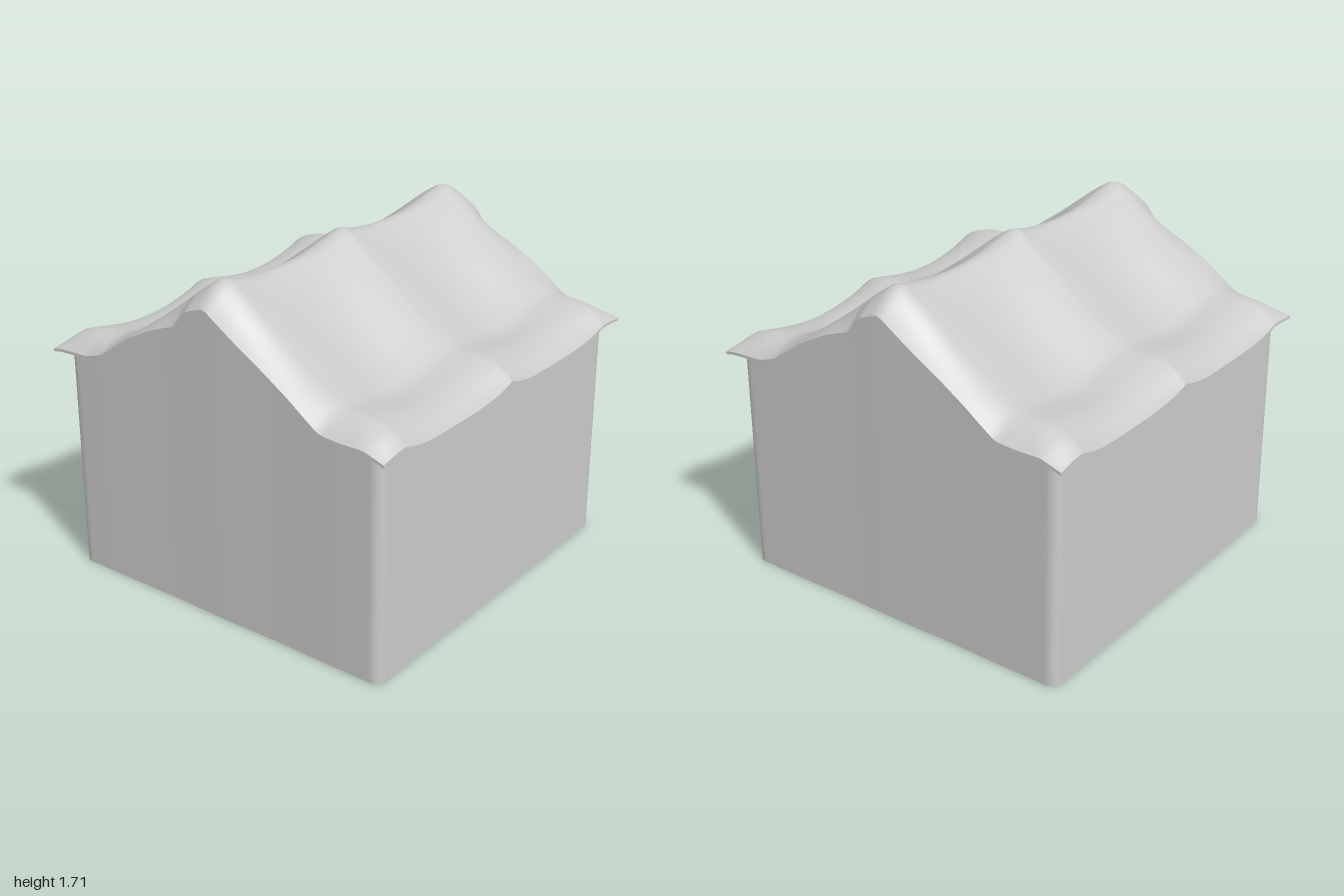
import * as THREE from 'three';

// Roof profiles across the width: over the ribs, and along the front hem
const RIB = [[-0.98, 1.175], [-0.93, 1.23], [-0.82, 1.265], [-0.64, 1.275], [-0.5, 1.35], [-0.3, 1.495], [-0.12, 1.64], [0, 1.722],
  [0.12, 1.64], [0.3, 1.495], [0.5, 1.35], [0.66, 1.27], [0.82, 1.262], [0.93, 1.23], [0.98, 1.175]];
const HEM = [[-0.98, 1.165], [-0.93, 1.175], [-0.75, 1.185], [-0.65, 1.22], [-0.48, 1.345], [-0.33, 1.425], [-0.17, 1.485],
  [-0.12, 1.565], [0, 1.612], [0.2, 1.475], [0.48, 1.305], [0.64, 1.195], [0.75, 1.185], [0.87, 1.185], [0.98, 1.15]];
const RIB_Z = 0.84, HALF_X = 0.98, THICK = 0.015;

function linear(p, x) {
  if (x <= p[0][0]) return p[0][1];
  for (let i = 1; i < p.length; i++) {
    if (x <= p[i][0]) return THREE.MathUtils.mapLinear(x, p[i - 1][0], p[i][0], p[i - 1][1], p[i][1]);
  }
  return p[p.length - 1][1];
}

// Profile height averaged over a small window to soften its corners
function soft(p, x, w) {
  w = Math.min(w, HALF_X - Math.min(Math.abs(x), HALF_X));
  let sum = 0;
  for (let k = -4; k <= 4; k++) sum += linear(p, x + k * w / 4);
  return sum / 9;
}

// Sag of the cloth between ribs: 0 on a rib, 1 in the middle of a bay.
// Taut and peaked along ridge and eaves, rounded on the slopes.
function sag(z, round) {
  const t = Math.abs(z) / RIB_Z;
  if (t >= 1) return 0;
  const peaked = 1 - Math.pow(Math.abs(2 * t - 1), 3);
  return THREE.MathUtils.lerp(peaked, Math.pow(Math.sin(Math.PI * t), 2), round);
}

function roofHeight(x, z) {
  const rib = soft(RIB, x, 0.04);
  const a = Math.abs(z);
  if (a > RIB_Z) {
    const t = Math.min(1, (a - RIB_Z) / (1 - RIB_Z));
    return THREE.MathUtils.lerp(rib, soft(HEM, z > 0 ? x : -x, 0.02), Math.pow(t, 1.8));
  }
  const slope = Math.sin(Math.PI * Math.min(1, Math.abs(x) / HALF_X));
  return rib - sag(z, 0.9 * Math.sqrt(Math.max(0, slope))) * (0.056 + 0.02 * slope);
}

// Roof point for u, v in -1..1, with gently wavy hems
function roofPoint(u, v, drop) {
  const z = v * (1 - 0.008 * Math.pow(Math.sin(u * 5), 2) * Math.abs(v));
  const x = u * (HALF_X - 0.014 * sag(v, 0.5));
  return [x, roofHeight(u * HALF_X, v) - drop, z];
}

// Grid surface facing du x dv
function grid(nu, nv, f) {
  const pos = [], idx = [];
  for (let i = 0; i <= nu; i++) for (let j = 0; j <= nv; j++) pos.push(...f(i / nu, j / nv));
  for (let i = 0; i < nu; i++) for (let j = 0; j < nv; j++) {
    const a = i * (nv + 1) + j, b = a + nv + 1;
    idx.push(a, b, a + 1, b, b + 1, a + 1);
  }
  const g = new THREE.BufferGeometry();
  g.setAttribute('position', new THREE.Float32BufferAttribute(pos, 3));
  g.setIndex(idx);
  g.computeVertexNormals();
  return g;
}

export function createModel() {
  const model = new THREE.Group();
  model.name = 'tent';
  const material = new THREE.MeshStandardMaterial({ color: 0xcccccc, side: THREE.DoubleSide });
  const add = (name, geometry, parent) => {
    const mesh = new THREE.Mesh(geometry, material);
    mesh.name = name;
    parent.add(mesh);
  };

  // Draped roof: top, underside and the thin hem around them
  const roof = new THREE.Group();
  roof.name = 'roof';
  model.add(roof);
  add('roofTop', grid(100, 98, (s, t) => roofPoint(t * 2 - 1, s * 2 - 1, 0)), roof);
  add('roofUnderside', grid(98, 100, (s, t) => roofPoint(s * 2 - 1, t * 2 - 1, THICK)), roof);
  const corners = [[-1, 1], [1, 1], [1, -1], [-1, -1], [-1, 1]];
  for (let k = 0; k < 4; k++) {
    const [a, b] = [corners[k], corners[k + 1]];
    const n = k % 2 ? 100 : 98;
    add('roofHem', grid(n, 1, (s, t) => roofPoint(
      THREE.MathUtils.lerp(a[0], b[0], s), THREE.MathUtils.lerp(a[1], b[1], s), THICK * (1 - t))), roof);
  }

  // Walls: closed rounded rectangle rising to the underside of the roof
  const X = 0.925, Z = 0.943, R = 0.05;
  const outline = new THREE.Path();
  outline.moveTo(0, -Z);
  outline.lineTo(X - R, -Z);
  outline.absarc(X - R, -Z + R, R, -Math.PI / 2, 0);
  outline.absarc(X - R, Z - R, R, 0, Math.PI / 2);
  outline.absarc(-X + R, Z - R, R, Math.PI / 2, Math.PI);
  outline.absarc(-X + R, -Z + R, R, Math.PI, Math.PI * 1.5);
  outline.lineTo(0, -Z);
  const N = 400;
  const ring = outline.getSpacedPoints(N).map((p) => {
    const ripple = 1 - 0.003 * (1 - Math.cos(9 * p.x)) * (1 - Math.abs(p.x));
    return [p.x, -p.y * ripple];
  });
  add('walls', grid(N, 6, (s, t) => {
    const [x, z] = ring[Math.round(s * N)];
    return [x, t * (roofHeight(x, z) - THICK * 0.6), z];
  }), model);

  // Floor
  add('floor', grid(N, 1, (s, t) => {
    const [x, z] = ring[Math.round(s * N)];
    return [x * t, 0, z * t];
  }), model);

  return model;
}
